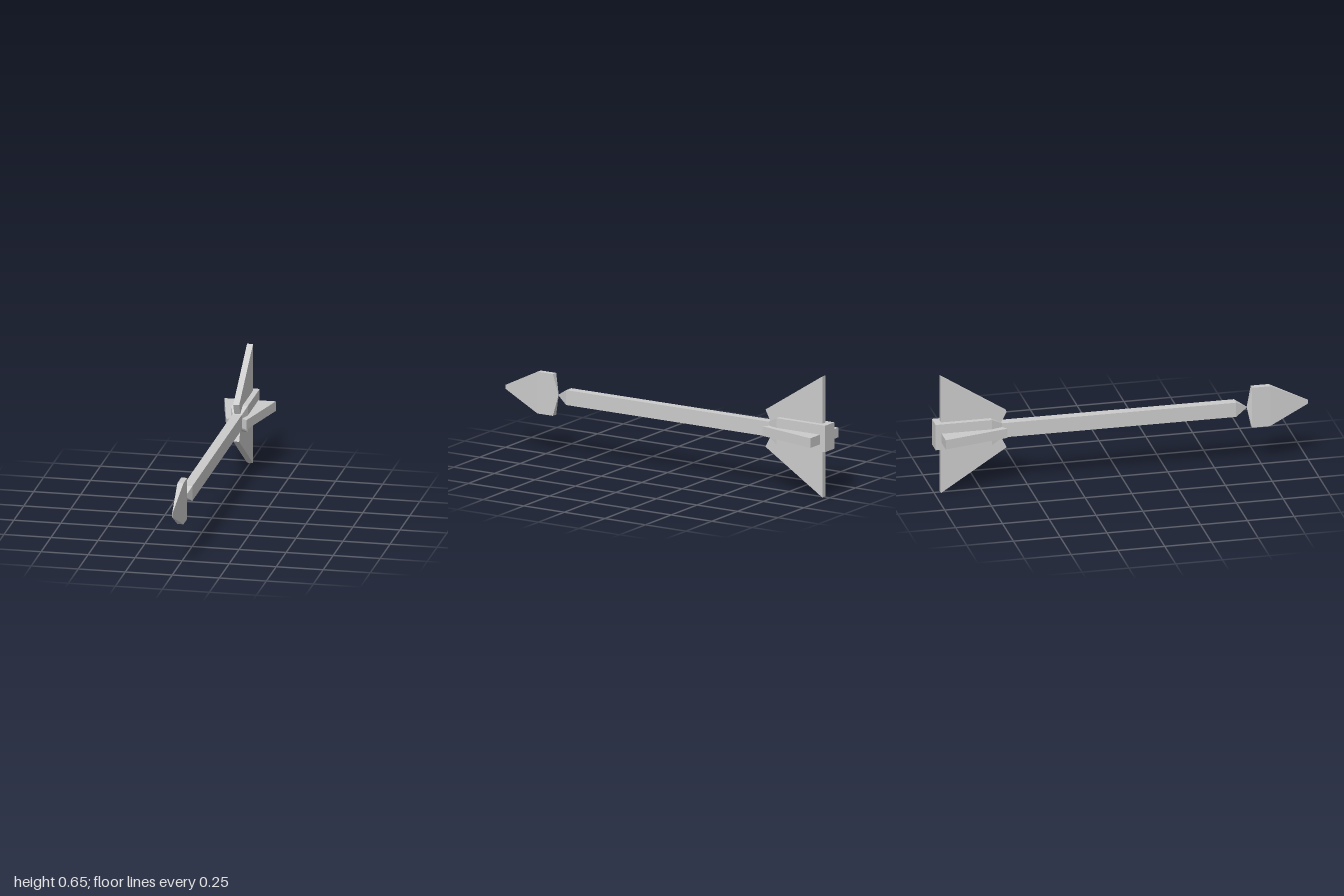
import * as THREE from 'three';

const MID = 0.325; // height of the arrow's axis

const material = new THREE.MeshStandardMaterial({ color: 0xcccccc, flatShading: true });

// Solid with rectangular cross-sections [z, halfWidth, halfHeight], listed back to front
function loft(name, sections) {
  const pos = [];
  const index = [];
  for (const [z, w, h] of sections) pos.push(-w, -h, z, w, -h, z, w, h, z, -w, h, z);
  for (let s = 0; s < sections.length - 1; s++) {
    for (let i = 0; i < 4; i++) {
      const a = s * 4 + i, b = s * 4 + (i + 1) % 4;
      index.push(a, b, b + 4, a, b + 4, a + 4);
    }
  }
  const e = (sections.length - 1) * 4;
  index.push(0, 2, 1, 0, 3, 2, e, e + 1, e + 2, e, e + 2, e + 3);
  const indexed = new THREE.BufferGeometry();
  indexed.setAttribute('position', new THREE.Float32BufferAttribute(pos, 3));
  indexed.setIndex(index);
  const geo = indexed.toNonIndexed();
  geo.computeVertexNormals();
  const mesh = new THREE.Mesh(geo, material);
  mesh.name = name;
  mesh.position.y = MID;
  return mesh;
}

// Flat fin: outline points are [z, distance from axis]; roll turns it around the axis
function fin(name, outline, thickness, roll, y) {
  const shape = new THREE.Shape(outline.map(([z, r]) => new THREE.Vector2(-z, r)));
  const geo = new THREE.ExtrudeGeometry(shape, { depth: thickness, bevelEnabled: false });
  geo.translate(0, 0, -thickness / 2);
  geo.rotateY(Math.PI / 2); // outline x becomes -z
  geo.rotateZ(roll);
  const mesh = new THREE.Mesh(geo, material);
  mesh.name = name;
  mesh.position.y = y;
  return mesh;
}

export function createModel() {
  const arrow = new THREE.Group();
  arrow.name = 'arrow';

  // Shaft with a pointed front end and a thicker nock block at the back
  arrow.add(loft('shaft', [
    [-1, 0.044, 0.071],
    [-0.70, 0.044, 0.071],
    [-0.64, 0.025, 0.04],
    [0.61, 0.025, 0.04],
    [0.672, 0.001, 0.002],
  ]));

  // Flat, tall arrowhead narrowing to the tip
  arrow.add(loft('arrowhead', [
    [0.672, 0.001, 0.002],
    [0.697, 0.016, 0.112],
    [0.793, 0.016, 0.112],
    [1, 0.001, 0.01],
  ]));

  // Tall vertical fins and short, thick side fins
  const tall = [[-0.614, 0.1], [-0.965, 0.325], [-0.965, 0.01], [-0.66, 0.01]];
  const short = [[-0.618, 0.053], [-0.968, 0.137], [-0.968, 0.005], [-0.66, 0.005]];
  arrow.add(fin('topFin', tall, 0.032, 0, MID));
  arrow.add(fin('bottomFin', tall, 0.032, Math.PI, MID));
  arrow.add(fin('leftFin', short, 0.052, -Math.PI / 2, 0.318));
  arrow.add(fin('rightFin', short, 0.052, Math.PI / 2, 0.318));

  return arrow;
}
